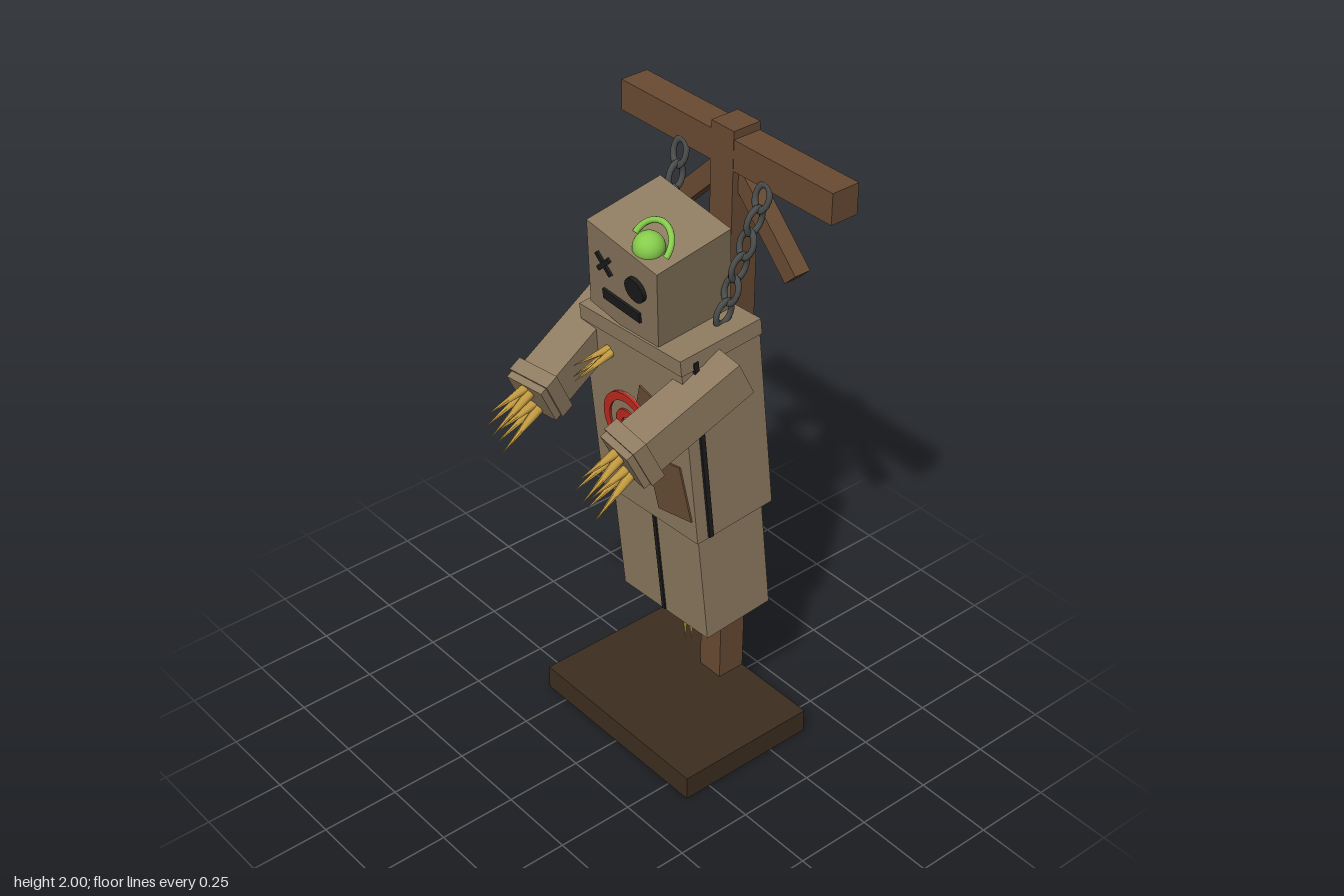
import * as THREE from 'three';

const mat = (name, color) => {
  const m = new THREE.MeshStandardMaterial({ color });
  m.name = name;
  return m;
};

export function createModel() {
  const burlap = mat('burlap', 0x8f7c61);
  const wood = mat('wood', 0x694b33);
  const darkWood = mat('dark wood', 0x3d2e1f);
  const patchCloth = mat('patch cloth', 0x6a4e36);
  const straw = mat('straw', 0xc39b41);
  const black = mat('black thread', 0x1c1c1c);
  const red = mat('red paint', 0xc02a20);
  const green = mat('green', 0x86cc4c);
  const iron = mat('iron', 0x4a4d4c);

  const model = new THREE.Group();
  model.name = 'hangingTrainingDummy';

  const add = (parent, name, geo, material, x = 0, y = 0, z = 0, rx = 0, ry = 0, rz = 0) => {
    const m = new THREE.Mesh(geo, material);
    m.name = name;
    m.position.set(x, y, z);
    m.rotation.set(rx, ry, rz);
    parent.add(m);
    return m;
  };
  const box = (w, h, d) => new THREE.BoxGeometry(w, h, d);
  const disc = (r, h) => new THREE.CylinderGeometry(r, r, h, 20).rotateX(Math.PI / 2);
  const group = (parent, name, x, y, z, rx = 0, ry = 0, rz = 0) => {
    const g = new THREE.Group();
    g.name = name;
    g.position.set(x, y, z);
    g.rotation.set(rx, ry, rz);
    parent.add(g);
    return g;
  };

  // A tuft of three pointed straws running from base towards tip
  const up = new THREE.Vector3(0, 1, 0);
  const tuft = (parent, name, base, tip, radius = 0.017, spread = 0.022) => {
    const g = group(parent, name, 0, 0, 0);
    const a = new THREE.Vector3(...base);
    const dir = new THREE.Vector3(...tip).sub(a);
    const q = new THREE.Quaternion().setFromUnitVectors(up, dir.clone().normalize());
    for (let i = 0; i < 3; i++) {
      const t = (i / 3) * Math.PI * 2 + 0.4;
      const off = new THREE.Vector3(Math.cos(t), 0, Math.sin(t)).applyQuaternion(q);
      const start = a.clone().addScaledVector(off, radius * 0.55);
      const d = dir.clone().multiplyScalar(1 - i * 0.1).addScaledVector(off, spread);
      const len = d.length();
      const cone = add(g, 'straw', new THREE.ConeGeometry(radius, len, 6).translate(0, len / 2, 0), straw);
      cone.position.copy(start);
      cone.quaternion.setFromUnitVectors(up, d.normalize());
    }
  };

  // Gallows stand
  const stand = group(model, 'stand', 0, 0, 0);
  add(stand, 'base', box(0.67, 0.08, 0.48), darkWood, 0, 0.04, -0.15);
  add(stand, 'post', box(0.092, 1.92, 0.096), wood, 0, 1.04, -0.342);
  add(stand, 'crossbeam', box(0.86, 0.095, 0.094), wood, 0, 1.927, -0.342);
  for (const s of [-1, 1]) {
    add(stand, 'brace', box(0.057, 0.34, 0.055), wood, s * 0.145, 1.75, -0.342, 0, 0, s * Math.PI / 4);
  }

  // Chains of alternating oval links
  const linkGeo = new THREE.TorusGeometry(0.026, 0.0085, 8, 16).scale(1, 1.45, 1);
  for (const s of [-1, 1]) {
    const chain = group(model, s > 0 ? 'leftChain' : 'rightChain', 0, 0, 0);
    const a = new THREE.Vector3(s * 0.17, 1.855, -0.29);
    const b = new THREE.Vector3(s * 0.138, 1.515, -0.19);
    for (let i = 0; i < 6; i++) {
      const p = a.clone().lerp(b, i / 5);
      const ry = i % 2 ? Math.PI / 2 : 0;
      const holder = group(chain, 'linkHolder', p.x, p.y, p.z, -0.28, 0, s * -0.09);
      add(holder, 'link', linkGeo, iron, 0, 0, 0, 0, ry, 0);
    }
  }

  // Torso with side seams
  const torso = group(model, 'torso', -0.003, 1.157, -0.15, 0.075, 0, 0.05);
  add(torso, 'sack', box(0.432, 0.63, 0.286), burlap);
  add(torso, 'collar', box(0.44, 0.05, 0.294), burlap, 0, 0.292, 0);
  for (const s of [-1, 1]) {
    add(torso, 'sideSeam', box(0.008, 0.6, 0.016), black, s * 0.22, -0.01, 0.095);
  }

  // Patches, painted target and holes on the chest
  const zf = 0.143;
  add(torso, 'upperPatch', box(0.12, 0.2, 0.006), patchCloth, 0.05, 0.035, zf + 0.002, 0, 0, -0.31);
  add(torso, 'lowerPatch', box(0.15, 0.18, 0.006), patchCloth, 0.112, -0.165, zf + 0.002, 0, 0, 0.17);
  const target = group(torso, 'target', -0.038, -0.012, zf + 0.006);
  add(target, 'targetBacking', disc(0.106, 0.008), burlap);
  for (const [inner, outer] of [[0.08, 0.107], [0.025, 0.052]]) {
    const shape = new THREE.Shape().absarc(0, 0, outer, 0, Math.PI * 2);
    shape.holes.push(new THREE.Path().absarc(0, 0, inner, 0, Math.PI * 2, true));
    add(target, 'targetRing', new THREE.ExtrudeGeometry(shape, { depth: 0.009, bevelEnabled: false, curveSegments: 16 }), red, 0, 0, 0.001);
  }
  for (const [x, y, r] of [[-0.118, -0.105, 0.018], [0.075, -0.092, 0.018], [-0.017, 0.003, 0.016]]) {
    add(torso, 'hole', disc(r, 0.012), black, x, y, zf + 0.008);
  }

  // Lower sack with a front seam
  const lower = group(model, 'lowerBody', 0.022, 0.665, -0.187, 0.075, 0, 0.05);
  add(lower, 'sack', box(0.385, 0.4, 0.245), burlap);
  add(lower, 'frontSeam', box(0.014, 0.39, 0.008), black, -0.003, 0, 0.124);
  tuft(model, 'frontFootStraw', [0.028, 0.475, -0.17], [0.052, 0.3, -0.17], 0.019, 0.012);
  tuft(model, 'backFootStraw', [0.028, 0.48, -0.258], [0.052, 0.305, -0.258], 0.019, 0.012);

  // Arms reaching forward, with cuffs and straw hands
  for (const s of [-1, 1]) {
    const arm = group(model, s > 0 ? 'leftArm' : 'rightArm', s * 0.248 - 0.008, 1.405, -0.14);
    arm.lookAt(s * 0.202 - 0.005, 1.23, 0.22);
    add(arm, 'sleeve', box(0.124, 0.118, 0.39), burlap, 0, 0, 0.195);
    add(arm, 'cuff', box(0.146, 0.142, 0.045), burlap, 0, 0, 0.36);
    add(arm, 'cuffEnd', box(0.134, 0.13, 0.025), burlap, 0, 0, 0.392);
    tuft(arm, 'upperHandStraw', [0, 0.035, 0.39], [s * 0.022, 0.045, 0.575]);
    tuft(arm, 'lowerHandStraw', [0, -0.04, 0.39], [s * 0.022, -0.042, 0.575]);
  }
  tuft(model, 'chestStraw', [-0.12, 1.345, 0], [-0.15, 1.29, 0.13], 0.014, 0.015);

  // Head with stitched face
  const head = group(model, 'head', -0.022, 1.63, -0.093, 0.17, 0, -0.165);
  add(head, 'headSack', box(0.29, 0.31, 0.265), burlap);
  const face = group(head, 'face', 0, 0, 0.136);
  for (const s of [-1, 1]) {
    add(face, 'crossEye', box(0.015, 0.078, 0.009), black, -0.074, 0.041, 0, 0, 0, s * 0.75 + 0.1);
  }
  add(face, 'roundEye', disc(0.039, 0.016), black, 0.061, 0.043, 0.001);
  add(face, 'mouth', box(0.155, 0.034, 0.009), black, -0.002, -0.064, 0, 0, 0, 0.1);

  // Green bulb on the head with an arched handle
  add(model, 'greenBulb', new THREE.SphereGeometry(0.046, 24, 16), green, 0.055, 1.762, 0.01);
  add(model, 'greenArch', new THREE.TorusGeometry(0.07, 0.009, 10, 28, Math.PI), green, 0.055, 1.766, 0.004, -0.65, 0, -0.12);

  return model;
}
